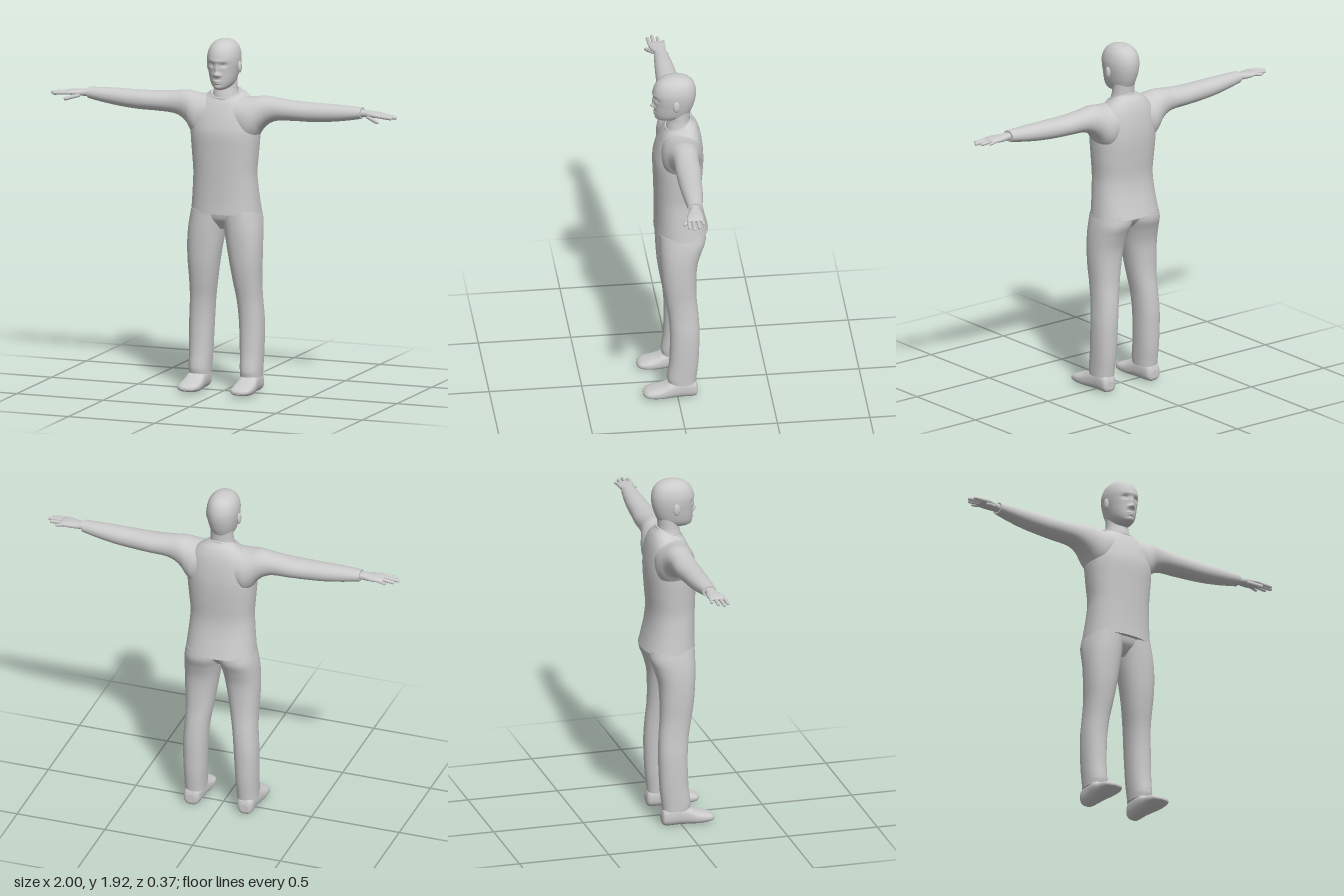
import * as THREE from 'three';

const material = new THREE.MeshStandardMaterial({ color: 0xcccccc });

// Smoothly resample rows; the first column is the position along the axis.
function refine(rows, steps) {
  const slope = (i, c) => {
    const p = rows[Math.max(i - 1, 0)], q = rows[Math.min(i + 1, rows.length - 1)];
    return (q[c] - p[c]) / (q[0] - p[0]);
  };
  const out = [];
  for (let i = 0; i < rows.length - 1; i++) {
    const p = rows[i], q = rows[i + 1], d = q[0] - p[0];
    for (let k = 0; k < steps; k++) {
      const s = k / steps, s2 = s * s, s3 = s2 * s;
      out.push(p.map((v, c) => c === 0 ? v + d * s :
        (2 * s3 - 3 * s2 + 1) * v + (s3 - 2 * s2 + s) * d * slope(i, c) +
        (3 * s2 - 2 * s3) * q[c] + (s3 - s2) * d * slope(i + 1, c)));
    }
  }
  out.push(rows[rows.length - 1]);
  return out;
}

// Loft of rounded sections along an axis. Row: [t, aMin, aMax, bMin, bMax, tilt].
// (a, b) is (y, z) along x, (z, x) along y and (x, y) along z.
function loft(axis, rows, { power = 2, segs = 32, steps = 5 } = {}) {
  const fine = refine(rows, steps), pos = [], index = [];
  const bend = v => Math.sign(v) * Math.abs(v) ** (2 / power);
  const put = (t, a, b) => pos.push(...(axis === 'x' ? [t, a, b] : axis === 'y' ? [b, t, a] : [a, b, t]));
  const ring = ([t, a0, a1, b0, b1, tilt = 0]) => {
    for (let j = 0; j < segs; j++) {
      const w = j / segs * Math.PI * 2, c = bend(Math.cos(w)), s = bend(Math.sin(w));
      put(t - tilt * c, (a0 + a1) / 2 + (a1 - a0) / 2 * c, (b0 + b1) / 2 + (b1 - b0) / 2 * s);
    }
  };
  fine.forEach(ring);
  for (let i = 0; i < fine.length - 1; i++) for (let j = 0; j < segs; j++) {
    const k = (j + 1) % segs, p = i * segs, q = p + segs;
    index.push(p + j, p + k, q + k, p + j, q + k, q + j);
  }
  // End caps with their own vertices, so the rims stay crisp
  [fine[0], fine[fine.length - 1]].forEach((r, end) => {
    const base = pos.length / 3;
    ring(r);
    put(r[0], (r[1] + r[2]) / 2, (r[3] + r[4]) / 2);
    for (let j = 0; j < segs; j++) {
      const k = (j + 1) % segs;
      index.push(base + segs, base + (end ? j : k), base + (end ? k : j));
    }
  });
  const g = new THREE.BufferGeometry();
  g.setAttribute('position', new THREE.Float32BufferAttribute(pos, 3));
  g.setIndex(index);
  g.computeVertexNormals();
  return g;
}

// Rows symmetric about x = 0: [y, zBack, zFront, halfWidth, tilt]
const centred = rows => rows.map(([y, b, f, w, tilt = 0]) => [y, b, f, -w, w, tilt]);

// Rounded rod between two points
function rod(from, to, r, flat = 1) {
  const a = new THREE.Vector3(...from), b = new THREE.Vector3(...to), d = b.clone().sub(a);
  const g = new THREE.CapsuleGeometry(r, d.length() - r, 6, 12);
  g.applyQuaternion(new THREE.Quaternion().setFromUnitVectors(new THREE.Vector3(0, 1, 0), d.normalize()));
  g.scale(1, flat, 1);
  return g.translate(...a.add(b).multiplyScalar(0.5).toArray());
}

function ellipsoid(x, y, z, rx, ry, rz) {
  return new THREE.SphereGeometry(1, 20, 14).scale(rx, ry, rz).translate(x, y, z);
}

function mirrored(source) {
  const g = source.clone().scale(-1, 1, 1), idx = g.index.array;
  for (let i = 0; i < idx.length; i += 3) [idx[i], idx[i + 1]] = [idx[i + 1], idx[i]];
  g.computeVertexNormals();
  return g;
}

// Head with nose, eye sockets, brow, lips and chin pressed into the face
function headGeometry() {
  const g = loft('y', centred([
    [1.657, -0.01, 0.08, 0.022], [1.667, -0.05, 0.097, 0.042], [1.69, -0.078, 0.104, 0.06],
    [1.72, -0.095, 0.107, 0.071], [1.76, -0.109, 0.109, 0.08], [1.80, -0.117, 0.114, 0.086],
    [1.84, -0.117, 0.114, 0.086], [1.88, -0.104, 0.097, 0.075], [1.905, -0.08, 0.07, 0.056],
    [1.918, -0.05, 0.04, 0.035], [1.924, -0.012, 0.006, 0.008],
  ]), { power: 2.1, segs: 96, steps: 8 });
  // Bumps: [x, y, radiusX, radiusY, height]
  const bumps = [
    [0, 1.745, 0.013, 0.012, 0.021], [0, 1.77, 0.009, 0.022, 0.009],
    [0.017, 1.742, 0.008, 0.008, 0.008], [-0.017, 1.742, 0.008, 0.008, 0.008],
    [0.035, 1.797, 0.018, 0.011, -0.011], [-0.035, 1.797, 0.018, 0.011, -0.011],
    [0, 1.82, 0.05, 0.009, 0.004], [0, 1.708, 0.02, 0.005, 0.008],
    [0, 1.697, 0.018, 0.005, 0.007], [0, 1.674, 0.02, 0.012, 0.005],
  ];
  const p = g.attributes.position;
  for (let i = 0; i < p.count; i++) {
    const x = p.getX(i), y = p.getY(i), z = p.getZ(i);
    if (z < 0.04) continue;
    let lift = 0;
    for (const [bx, by, rx, ry, h] of bumps) lift += h * Math.exp(-(((x - bx) / rx) ** 2) - ((y - by) / ry) ** 2);
    p.setZ(i, z + lift);
  }
  g.computeVertexNormals();
  return g;
}

export function createModel() {
  const model = new THREE.Group();
  const add = (name, g) => {
    const m = new THREE.Mesh(g, material);
    m.name = name;
    model.add(m);
  };
  const pair = (name, g) => {
    add('left' + name, g);
    add('right' + name, mirrored(g));
  };

  // Head and neck
  add('head', headGeometry());
  add('neck', loft('y', centred([
    [1.57, -0.095, 0.05, 0.078], [1.62, -0.088, 0.042, 0.07], [1.66, -0.083, 0.032, 0.063], [1.73, -0.088, 0.03, 0.062],
  ])));
  pair('Eye', ellipsoid(0.034, 1.797, 0.083, 0.015, 0.011, 0.013));
  pair('Ear', ellipsoid(0.088, 1.776, -0.002, 0.011, 0.033, 0.019).applyMatrix4(new THREE.Matrix4()));

  // Shirt: body, collar and sleeves that flare into the chest
  add('shirtBody', loft('y', centred([
    [0.98, -0.18, 0.11, 0.192], [1.04, -0.165, 0.108, 0.186], [1.12, -0.148, 0.108, 0.179],
    [1.2, -0.141, 0.11, 0.175], [1.3, -0.148, 0.113, 0.183], [1.42, -0.155, 0.115, 0.191],
    [1.5, -0.15, 0.098, 0.184, 0.005], [1.56, -0.138, 0.08, 0.165, 0.015], [1.6, -0.12, 0.065, 0.13, 0.022],
    [1.62, -0.102, 0.056, 0.098, 0.026], [1.632, -0.092, 0.05, 0.08, 0.027],
  ]), { power: 2.3, segs: 56 }));
  const collar = Array.from({ length: 24 }, (_, i) => {
    const a = i / 24 * Math.PI * 2;
    return new THREE.Vector3(0.077 * Math.sin(a), 1.631 - 0.027 * Math.cos(a), -0.021 + 0.069 * Math.cos(a));
  });
  add('collar', new THREE.TubeGeometry(new THREE.CatmullRomCurve3(collar, true), 64, 0.006, 8, true));
  pair('Sleeve', loft('x', [
    [0.06, 1.42, 1.61, -0.125, 0.075], [0.14, 1.37, 1.612, -0.135, 0.082], [0.18, 1.395, 1.617, -0.127, 0.072],
    [0.21, 1.438, 1.622, -0.116, 0.056], [0.25, 1.473, 1.621, -0.106, 0.042], [0.3, 1.492, 1.614, -0.1, 0.036],
    [0.4, 1.498, 1.606, -0.1, 0.036], [0.5, 1.5, 1.604, -0.09, 0.034], [0.6, 1.508, 1.604, -0.084, 0.03],
    [0.7, 1.522, 1.603, -0.073, 0.024], [0.79, 1.539, 1.6, -0.06, 0.017],
  ], { power: 2.1, segs: 40 }));

  // Hands: palm, four fingers and a thumb pointing forward
  pair('Palm', loft('x', [
    [0.77, 1.549, 1.591, -0.047, 0.007], [0.81, 1.55, 1.588, -0.047, 0.01], [0.85, 1.551, 1.585, -0.054, 0.026],
    [0.89, 1.555, 1.582, -0.055, 0.036], [0.915, 1.558, 1.577, -0.048, 0.035], [0.92, 1.563, 1.572, -0.042, 0.028],
  ], { power: 2.3, segs: 24 }));
  const fingers = [
    ['Index', 0.026, 0.982, 0.03, 0.0095], ['Middle', 0.004, 1.0, 0.004, 0.0098],
    ['Ring', -0.02, 0.982, -0.024, 0.0093], ['Little', -0.043, 0.942, -0.05, 0.0082],
  ];
  for (const [name, z0, tip, z1, r] of fingers) {
    pair(name + 'Finger', rod([0.88, 1.568, z0], [tip - r / 2, 1.561, z1], r, 1));
  }
  pair('Thumb', rod([0.835, 1.558, 0.012], [0.905, 1.538, 0.048], 0.0105));

  // Trousers: seat and two legs
  add('trouserSeat', loft('y', centred([
    [0.89, -0.07, 0.035, 0.035], [0.92, -0.105, 0.06, 0.085], [0.95, -0.13, 0.08, 0.14], [0.995, -0.15, 0.09, 0.18],
  ]), { power: 2.3 }));
  pair('TrouserLeg', loft('y', [
    [0.085, -0.1, 0.05, 0.092, 0.205], [0.12, -0.104, 0.055, 0.09, 0.206], [0.2, -0.113, 0.045, 0.086, 0.208],
    [0.3, -0.118, 0.04, 0.082, 0.21], [0.4, -0.12, 0.04, 0.077, 0.209], [0.5, -0.115, 0.048, 0.068, 0.203],
    [0.6, -0.106, 0.065, 0.052, 0.202], [0.7, -0.105, 0.08, 0.036, 0.207], [0.8, -0.112, 0.088, 0.019, 0.209],
    [0.88, -0.135, 0.092, 0.005, 0.206], [0.94, -0.158, 0.093, -0.008, 0.199], [0.995, -0.158, 0.093, -0.015, 0.188],
  ], { power: 2.25, segs: 40 }));

  // Shoes
  pair('Shoe', loft('z', [
    [-0.107, 0.13, 0.176, 0.02, 0.065], [-0.1, 0.115, 0.19, 0.006, 0.088], [-0.08, 0.106, 0.197, 0, 0.104],
    [-0.02, 0.1, 0.2, 0, 0.112], [0.03, 0.097, 0.206, 0, 0.1], [0.08, 0.092, 0.212, 0, 0.075],
    [0.13, 0.091, 0.213, 0.004, 0.06], [0.162, 0.1, 0.206, 0.01, 0.05], [0.178, 0.115, 0.19, 0.014, 0.041],
    [0.186, 0.138, 0.168, 0.02, 0.032],
  ], { power: 2.6 }));

  return model;
}
